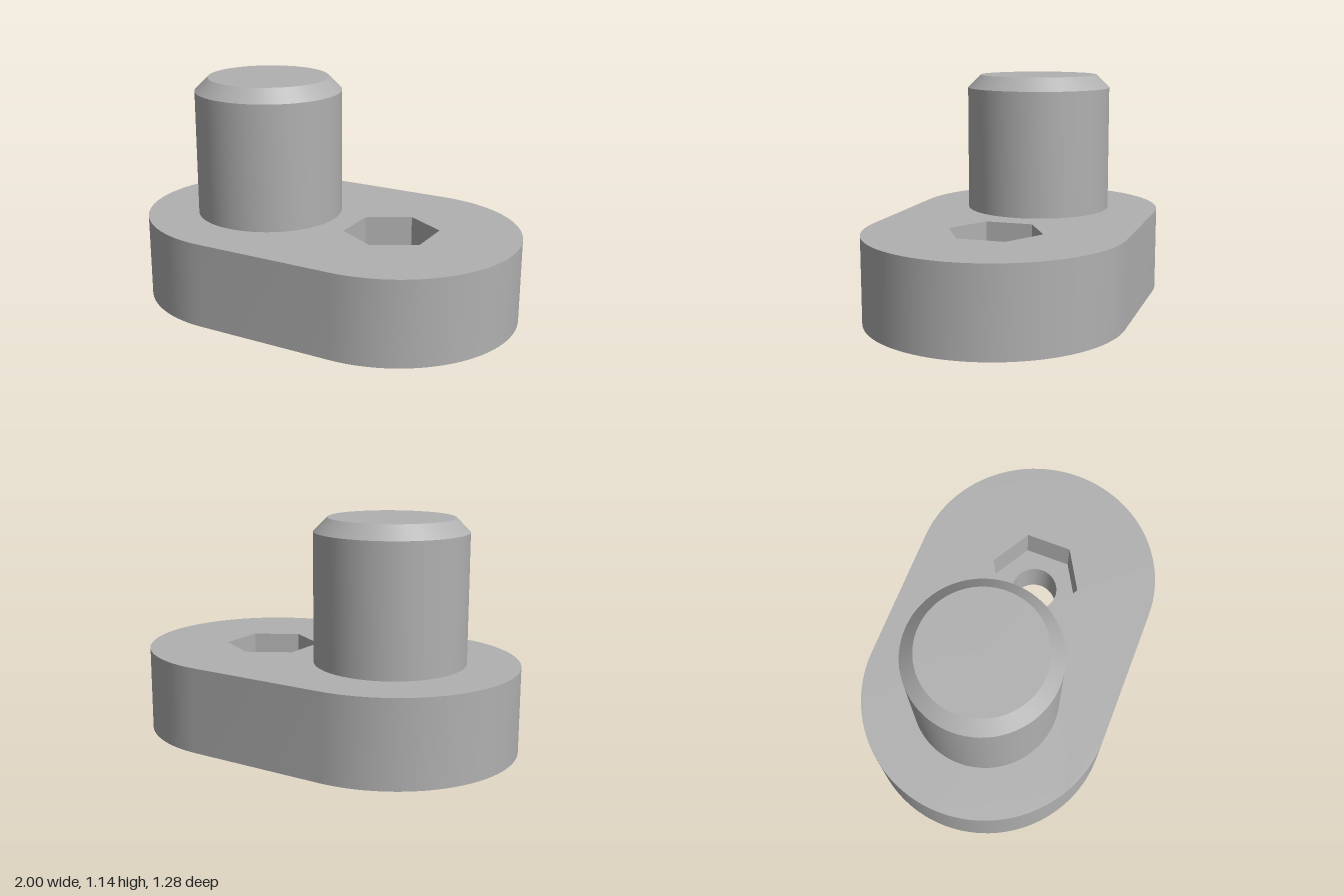
import * as THREE from 'three';
import { mergeGeometries, toCreasedNormals } from 'three/addons/utils/BufferGeometryUtils.js';

const HEIGHT = 0.43, FLOOR = 0.23, END_X = 0.36, END_R = 0.64;
const PEG_X = -0.36, PEG_R = 0.378, HOLE_X = 0.355;

// Counter-clockwise points of an arc or regular polygon
function ring(cx, r, sides, start = 0, sweep = Math.PI * 2, closed = true) {
  const count = closed ? sides : sides + 1;
  return Array.from({ length: count }, (_, i) => {
    const a = start + (sweep * i) / sides;
    return new THREE.Vector2(cx + r * Math.cos(a), r * Math.sin(a));
  });
}

// Flat face at a given height, with optional holes
function face(outline, holes, y, down = false) {
  const shape = new THREE.Shape(outline);
  shape.holes = holes.map((h) => new THREE.Path(h));
  const g = new THREE.ShapeGeometry(shape).toNonIndexed();
  g.deleteAttribute('uv');
  if (down) g.rotateX(Math.PI / 2);
  else g.rotateX(-Math.PI / 2);
  return g.translate(0, y, 0);
}

// Upright wall along a closed outline; inward walls face the centre
function wall(outline, y0, y1, inward = false) {
  const pts = inward ? [...outline].reverse() : outline;
  const pos = [];
  pts.forEach((a, i) => {
    const b = pts[(i + 1) % pts.length];
    const quad = [[a, y0], [b, y0], [b, y1], [a, y0], [b, y1], [a, y1]];
    for (const [p, y] of quad) pos.push(p.x, y, -p.y);
  });
  const g = new THREE.BufferGeometry();
  g.setAttribute('position', new THREE.Float32BufferAttribute(pos, 3));
  g.computeVertexNormals();
  return toCreasedNormals(g, 0.5);
}

export function createModel() {
  const group = new THREE.Group();
  const grey = new THREE.MeshStandardMaterial({ color: 0xb0b0b0 });
  grey.name = 'plain grey';
  const add = (name, geometry) => {
    const mesh = new THREE.Mesh(geometry, grey);
    mesh.name = name;
    group.add(mesh);
    return mesh;
  };

  const outline = [
    ...ring(END_X, END_R, 48, -Math.PI / 2, Math.PI, false),
    ...ring(-END_X, END_R, 48, Math.PI / 2, Math.PI, false),
  ];
  const hex = ring(HOLE_X, 0.24, 6, Math.PI / 2);
  const bore = ring(HOLE_X, 0.122, 48);
  const pegFoot = ring(PEG_X, PEG_R, 72);

  // Rounded base plate
  add('basePlate', mergeGeometries([
    wall(outline, 0, HEIGHT),
    face(outline, [hex, pegFoot], HEIGHT),
    face(outline, [bore], 0, true),
  ]));

  // Hexagonal nut recess with its floor
  add('nutRecess', mergeGeometries([
    wall(hex, FLOOR, HEIGHT, true),
    face(hex, [bore], FLOOR),
  ]));

  // Round hole through the bottom
  add('boltHole', wall(bore, 0, FLOOR, true));

  // Chamfered peg
  const profile = [[PEG_R, HEIGHT], [PEG_R, 1.075], [0.31, 1.143], [0, 1.143]]
    .map(([r, y]) => new THREE.Vector2(r, y));
  const peg = add('peg', toCreasedNormals(new THREE.LatheGeometry(profile, 72), 0.5));
  peg.position.x = PEG_X;

  return group;
}
